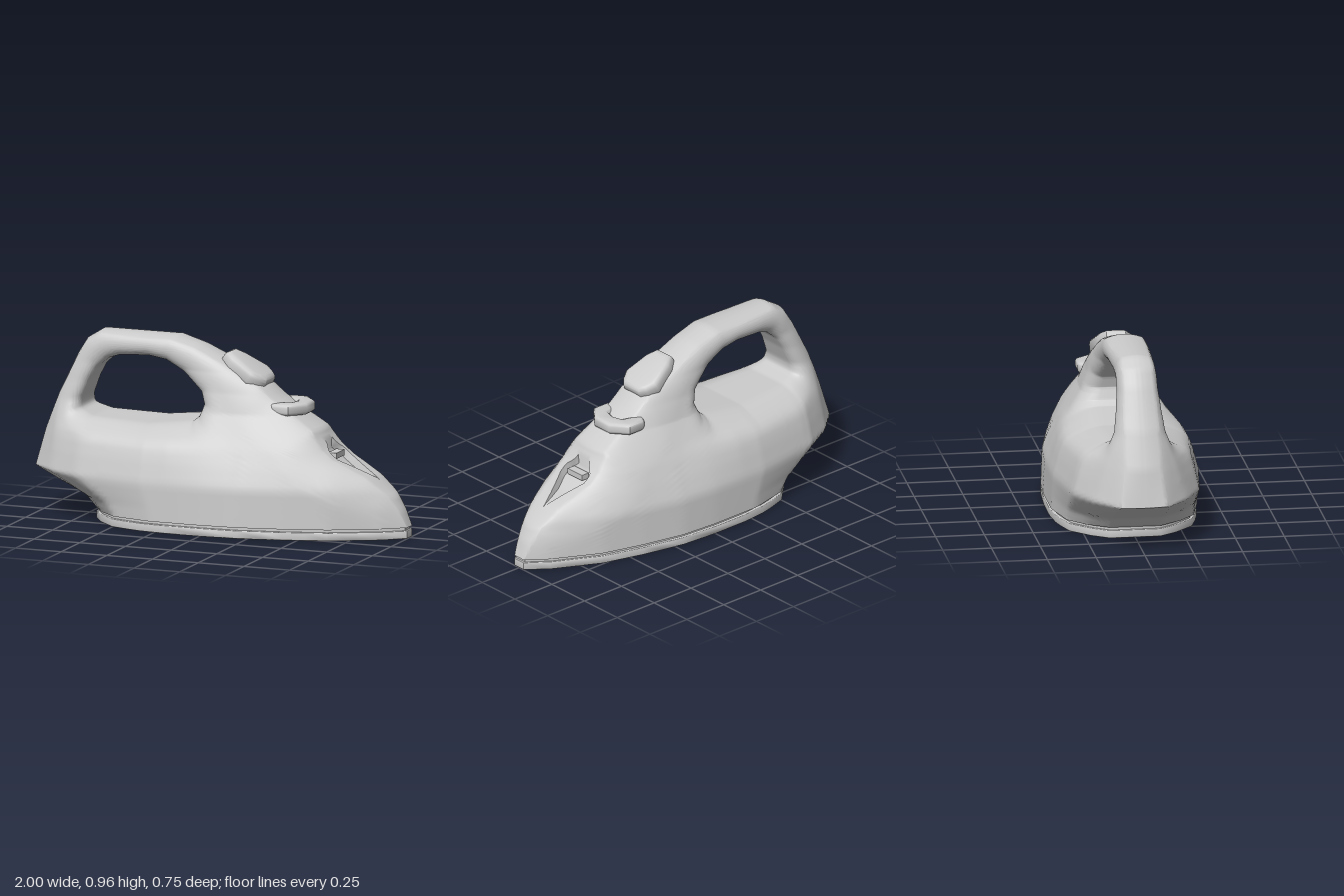
import * as THREE from 'three';
import { toCreasedNormals } from 'three/addons/utils/BufferGeometryUtils.js';

const material = new THREE.MeshStandardMaterial({ color: 0xcccccc });

// Side silhouette, clockwise from the heel; the last two points close the flat underside
const OUTLINE = [[-1, .25], [-.965, .44], [-.9, .62], [-.8, .83], [-.75, .91], [-.67, .96], [-.26, .96],
  [-.13, .92], [0, .86], [.23, .74], [.3, .68], [.42, .6], [.53, .53], [.545, .5], [.59, .44], [.65, .39],
  [.82, .3], [.93, .21], [.97, .14], [1, .057], [-.66, .057], [-.72, .12]];
const ROUNDED = OUTLINE.slice(0, 20);
// Finger opening under the handle
const HOLE = [[-.76, .56], [-.76, .6], [-.72, .7], [-.68, .77], [-.62, .82], [-.56, .84], [-.4, .85], [-.3, .835],
  [-.2, .78], [-.1, .69], [-.08, .63], [-.1, .57], [-.13, .545], [-.38, .515], [-.68, .525], [-.745, .55]];
const CENTRE = [-.42, .68];
// Half width along the length, and its limit by height: shouldered under the opening, tapered at both ends
const PLAN = [[-1, .13], [-.87, .24], [-.7, .325], [-.33, .374], [0, .374], [.2, .36], [.43, .31], [.65, .245],
  [.89, .12], [1, .035]];
const SHOULDER = [[.06, .375], [.25, .375], [.36, .346], [.42, .325], [.46, .3], [.5, .255], [.6, .185],
  [.7, .15], [.8, .12], [.96, .11]];
const TAPER = [[.06, .375], [.25, .368], [.35, .325], [.44, .28], [.5, .245], [.6, .185], [.7, .155], [.8, .14],
  [.92, .122], [.96, .115]];
const SHOULDER_SHARE = [[-.9, 0], [-.65, 1], [-.2, 1], [.15, 0]];
const HEEL = [[.057, -.66], [.12, -.72], [.25, -1]];
// How much of the width is kept at the silhouette, by height
const HEEL_EDGE = [[.06, 1], [.25, .9], [.45, .5]];
const NOSE_EDGE = [[.06, 1], [.2, .5]];
// Recess width along the nose, as a share of the rim
const RECESS = [[.57, .35], [.61, .7], [.66, .68], [.8, .15], [.83, .02]];

function lookup(table, v) {
  if (v <= table[0][0]) return table[0][1];
  for (let i = 1; i < table.length; i++) {
    const [a, p] = table[i - 1], [b, q] = table[i];
    if (v <= b) return p + (q - p) * (v - a) / (b - a);
  }
  return table[table.length - 1][1];
}

function distanceTo(points, x, y, closed) {
  let best = Infinity;
  for (let i = 0; i < points.length - (closed ? 0 : 1); i++) {
    const [ax, ay] = points[i], [bx, by] = points[(i + 1) % points.length];
    const dx = bx - ax, dy = by - ay;
    const t = THREE.MathUtils.clamp(((x - ax) * dx + (y - ay) * dy) / (dx * dx + dy * dy), 0, 1);
    best = Math.min(best, Math.hypot(x - ax - t * dx, y - ay - t * dy));
  }
  return best;
}

// Point on the opening's rim in the direction of (x, y)
function rimPoint(x, y) {
  const dx = x - CENTRE[0], dy = y - CENTRE[1];
  for (let i = 0; i < HOLE.length; i++) {
    const [ax, ay] = HOLE[i], [bx, by] = HOLE[(i + 1) % HOLE.length];
    const ex = bx - ax, ey = by - ay, det = dx * ey - dy * ex;
    const px = ax - CENTRE[0], py = ay - CENTRE[1];
    const t = (px * ey - py * ex) / det, s = (px * dy - py * dx) / det;
    if (t > 0 && s >= -1e-6 && s <= 1 + 1e-6) return [CENTRE[0] + dx * t, CENTRE[1] + dy * t];
  }
  return [...CENTRE];
}

const edge = (x, y) => lookup(x < 0 ? HEEL_EDGE : NOSE_EDGE, y);

const planWidth = (x, y) => {
  const heel = lookup(HEEL, y);
  return lookup(PLAN, x < -.2 ? -.2 + (x + .2) * .8 / (-.2 - heel) : x);
};

// Half thickness of the body, rounded off towards the silhouette and the opening
function halfWidth(x, y) {
  const out = distanceTo(ROUNDED, x, y, false), inn = distanceTo(HOLE, x, y, true);
  const half = (out + inn) / 2;
  const round = (d, r, e) => e + (1 - e) * Math.sqrt(1 - (1 - Math.min(1, d / r)) ** 2);
  const limit = THREE.MathUtils.lerp(lookup(TAPER, y), lookup(SHOULDER, y), lookup(SHOULDER_SHARE, x));
  return planWidth(x, y) * limit / .375
    * round(out, Math.min(.2, half), edge(x, y)) * round(inn, Math.min(.09, half), .5);
}

// Body and handle: a closed cross-section swept once around the opening
function bodyGeometry() {
  const samples = [];
  OUTLINE.forEach(([ax, ay], i) => {
    const [bx, by] = OUTLINE[(i + 1) % OUTLINE.length];
    const n = Math.ceil(Math.hypot(bx - ax, by - ay) / .025);
    for (let k = 0; k < n; k++) samples.push([ax + (bx - ax) * k / n, ay + (by - ay) * k / n]);
  });
  const radial = 28, positions = [], index = [];
  for (const [ox, oy] of samples) {
    const [hx, hy] = rimPoint(ox, oy), side = [];
    const length = Math.hypot(ox - hx, oy - hy);
    // The outer strip is crowned: its edges sit a little inside the silhouette
    const crown = .04 * (1 - edge(ox, oy)) / length;
    for (let k = 0; k <= radial; k++) {
      const s = (.5 - .5 * Math.cos(Math.PI * k / radial)) * (1 - crown);
      const x = hx + (ox - hx) * s, y = hy + (oy - hy) * s;
      side.push([x, y, halfWidth(x, y)]);
    }
    const rim = side[radial][2], inner = side[0][2];
    side.forEach(p => positions.push(...p));
    // Outer strip, with a teardrop recess sunk into the nose
    const reach = lookup(RECESS, ox);
    const dip = oy > .2 && oy < .465 && ox > .5 && ox < .83 ? .04 * Math.min(1, (.83 - ox) / .12) : 0;
    const strip = (t, depth) => {
      const c = crown * t * t;
      positions.push(ox + (hx - ox) * c - depth * .5, oy + (hy - oy) * c - depth * .85, rim * t);
    };
    for (let k = 1; k <= 4; k++) strip(1 + (reach - 1) * k / 4, 0);
    for (let k = 0; k <= 8; k++) strip(reach * (1 - k / 4) * .94, dip);
    for (let k = 4; k >= 1; k--) strip(-1 - (reach - 1) * k / 4, 0);
    for (let k = radial; k >= 0; k--) positions.push(side[k][0], side[k][1], -side[k][2]);
    for (let k = 1; k < 4; k++) positions.push(hx, hy, inner * (k / 2 - 1));
  }
  const n = samples.length, m = positions.length / 3 / n;
  for (let i = 0; i < n; i++) for (let j = 0; j < m; j++) {
    const i2 = (i + 1) % n, j2 = (j + 1) % m;
    const a = i * m + j, b = i2 * m + j, c = i2 * m + j2, d = i * m + j2;
    index.push(a, b, c, a, c, d);
  }
  const geometry = new THREE.BufferGeometry();
  geometry.setAttribute('position', new THREE.Float32BufferAttribute(positions, 3));
  geometry.setIndex(index);
  return toCreasedNormals(geometry, 1.05);
}

// Slab from half a plan outline mirrored in z, extruded upwards
function slab(half, depth, bevel = 0) {
  const mirrored = half.filter(p => p[1] > 0).map(([x, z]) => [x, -z]).reverse();
  const shape = new THREE.Shape([...half, ...mirrored].map(p => new THREE.Vector2(...p)));
  const geometry = new THREE.ExtrudeGeometry(shape, {
    depth: depth - 2 * bevel, bevelEnabled: bevel > 0, bevelThickness: bevel, bevelSize: bevel,
    bevelOffset: -bevel, bevelSegments: 3
  });
  geometry.rotateX(-Math.PI / 2).translate(0, bevel, 0);
  return toCreasedNormals(geometry, .8);
}

export function createModel() {
  const group = new THREE.Group();
  const add = (name, geometry, x = 0, y = 0, z = 0, tilt = 0) => {
    const mesh = new THREE.Mesh(geometry, material);
    mesh.name = name;
    mesh.position.set(x, y, z);
    mesh.rotation.z = tilt;
    group.add(mesh);
  };

  add('bodyAndHandle', bodyGeometry());

  // Soleplate with a recessed seam above it
  const sole = [-.66, -.6, -.5, -.4, -.33, -.2, 0, .2, .32, .43, .54, .65, .77, .89, 1].map(x => [x, planWidth(x, .057)]);
  add('soleplate', slab(sole, .042, .004));
  add('seam', slab(sole.map(([x, z]) => [x * .99, z * .96]), .03), 0, .035);

  // Controls along the front slope
  add('steamButton', slab([[-.135, .05], [-.08, .085], [.05, .115], [.1, .09], [.13, .06]], .09, .03),
    .095, .762, 0, -.52);
  add('temperatureSlider', slab([[.375, 0], [.36, .05], [.305, .068], [.262, .095], [.28, .13], [.3, .14],
    [.385, .14], [.455, .055]], .06, .018), 0, .6, -.015);
  add('sprayNozzle', new THREE.BoxGeometry(.045, .03, .11), .6, .403, 0);

  return group;
}
